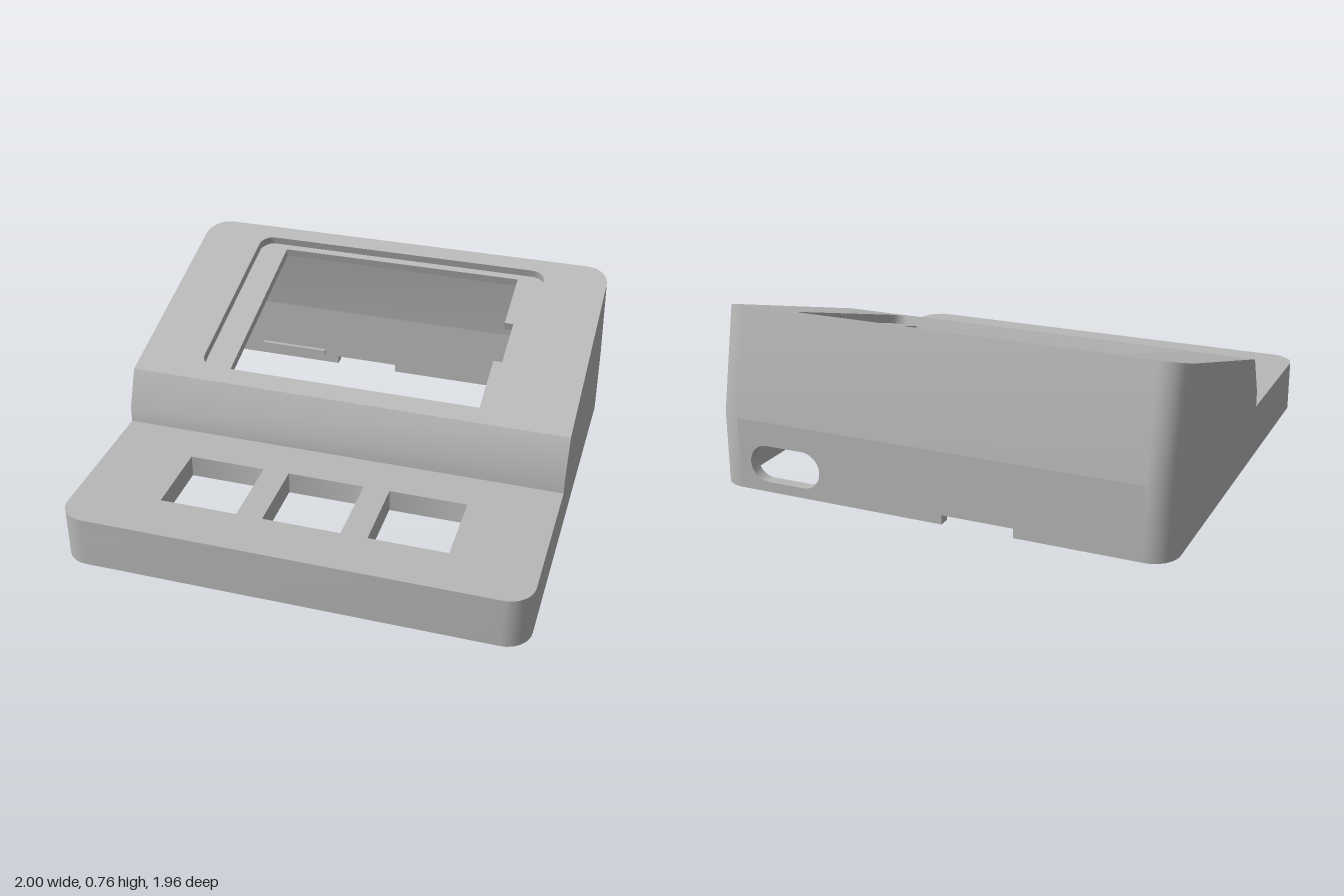
import * as THREE from 'three';
import { toCreasedNormals } from 'three/addons/utils/BufferGeometryUtils.js';

const R = 0.11, WALL = 0.05, FRONT = 0.98, BACK = -0.98, KNEE = 0.31;
const SLOPE = 0.285, LEAN = 0.209;              // screen face rise, back wall lean
const EDGE = { y: 0.47, z: 0.15 };              // lower edge of the screen face
const COS = Math.cos(Math.atan(SLOPE));

// One vertical line of the wall: bottom, knee and top points
function column(x, z, top) {
  const mid = Math.min(top ?? KNEE, KNEE);
  let zt = z, yt = top;
  if (top === undefined) {                      // leaning back part ends on the screen plane
    yt = (EDGE.y + SLOPE * (EDGE.z - z + LEAN * KNEE)) / (1 + SLOPE * LEAN);
    zt = z + LEAN * (yt - KNEE);
  }
  return [[x, 0, z], [x, mid, z], [x, yt, zt]];
}

// Closed run of wall lines: front, left side, back, right side
function wallColumns(inset) {
  const r = R - inset, side = [], steps = 8;
  for (let i = 0; i <= steps; i++) {
    const a = (1 - i / steps) * Math.PI / 2;
    side.push(column(1 - R + r * Math.cos(a), FRONT - R + r * Math.sin(a), 0.23));
  }
  const x = 1 - inset;
  side.push(column(x, 0.22, 0.23), column(x, 0.22, 0.30), column(x, EDGE.z, EDGE.y));
  for (let i = 0; i <= steps; i++) {
    const a = (i / steps) * Math.PI / 2;
    side.push(column(1 - R + r * Math.cos(a), BACK + R - r * Math.sin(a)));
  }
  const mirrored = side.map(c => c.map(([px, y, z]) => [-px, y, z])).reverse();
  return [...side, ...mirrored];
}

function wallGeometry(outer, inner) {
  const pos = [];
  const tri = (...p) => {
    const [a, b, c] = p.map(q => new THREE.Vector3(...q));
    if (b.sub(a).cross(c.sub(a)).length() > 1e-7) pos.push(...p.flat());
  };
  const quad = (a, b, c, d) => { tri(a, b, c); tri(a, c, d); };
  const n = outer.length;
  for (let i = 0; i < n; i++) {
    const j = (i + 1) % n, backPanel = i === n / 2 - 1;
    for (let k = backPanel ? 1 : 0; k < 2; k++) {
      quad(outer[i][k], outer[j][k], outer[j][k + 1], outer[i][k + 1]);
      quad(inner[j][k], inner[i][k], inner[i][k + 1], inner[j][k + 1]);
    }
    if (!backPanel) quad(outer[j][0], outer[i][0], inner[i][0], inner[j][0]);
  }
  const g = new THREE.BufferGeometry();
  g.setAttribute('position', new THREE.Float32BufferAttribute(pos, 3));
  return toCreasedNormals(g, 0.5);
}

// Rounded rectangle from corner to corner
function roundRect(x0, y0, x1, y1, r, Type = THREE.Shape) {
  const s = new Type();
  s.absarc(x1 - r, y1 - r, r, 0, Math.PI / 2);
  s.absarc(x0 + r, y1 - r, r, Math.PI / 2, Math.PI);
  s.absarc(x0 + r, y0 + r, r, Math.PI, Math.PI * 1.5);
  s.absarc(x1 - r, y0 + r, r, Math.PI * 1.5, Math.PI * 2);
  s.closePath();
  return s;
}

const polygon = pts => new THREE.Shape(pts.map(p => new THREE.Vector2(...p)));

function extrude(shape, depth, z = 0) {
  const g = new THREE.ExtrudeGeometry(shape, { depth, bevelEnabled: false, curveSegments: 8 });
  return toCreasedNormals(g.translate(0, 0, z), 0.5);
}

export function createModel() {
  const model = new THREE.Group();
  model.name = 'deskConsoleCase';
  const grey = new THREE.MeshStandardMaterial({ color: 0xb8b8b8 });
  grey.name = 'case grey';
  const add = (name, geometry, parent = model, x = 0, y = 0, z = 0) => {
    const m = new THREE.Mesh(geometry, grey);
    m.name = name;
    m.position.set(x, y, z);
    parent.add(m);
    return m;
  };

  // Walls, hollow and open at the bottom
  const outer = wallColumns(0);
  add('walls', wallGeometry(outer, wallColumns(WALL)));

  // Lower back panel with cable opening and bottom notch
  const w = 1 - R;
  const back = polygon([[-w, 0], [-0.36, 0], [-0.36, 0.04], [-0.05, 0.04], [-0.05, 0],
    [w, 0], [w, KNEE], [-w, KNEE]]);
  back.holes.push(roundRect(0.505, 0.045, 0.835, 0.205, 0.08, THREE.Path));
  add('backPanel', extrude(back, WALL, BACK));

  // Front deck with three key openings
  const deckGroup = new THREE.Group();
  deckGroup.name = 'deck';
  deckGroup.rotation.x = -Math.PI / 2;
  model.add(deckGroup);
  const deck = new THREE.Shape();
  deck.moveTo(1, -0.18);
  deck.lineTo(-1, -0.18);
  deck.absarc(-w, -FRONT + R, R, Math.PI, Math.PI * 1.5);
  deck.absarc(w, -FRONT + R, R, Math.PI * 1.5, Math.PI * 2);
  deck.closePath();
  const square = (cx, h, Type) => roundRect(cx - h, -0.585 - h, cx + h, -0.585 + h, 0.002, Type);
  for (const cx of [-0.455, 0, 0.455]) {
    deck.holes.push(square(cx, 0.17, THREE.Path));
    // Collars under the openings
    [[0.22, 0.16], [0.2, 0.13]].forEach(([h, y]) => {
      const collar = square(cx, h);
      collar.holes.push(square(cx, 0.17, THREE.Path));
      add('keyCollar', extrude(collar, 0.03, y), deckGroup);
    });
  }
  add('deckPlate', extrude(deck, 0.04, 0.19), deckGroup);

  // Step between deck and screen face
  const step = extrude(polygon([[-0.22, 0.19], [-0.22, 0.30], [-EDGE.z, EDGE.y],
    [-0.10, 0.455], [-0.17, 0.29], [-0.17, 0.19]].reverse()), 2, -1);
  add('step', step.rotateY(Math.PI / 2));

  // Tilted screen face; local y runs uphill and local z points out
  const face = new THREE.Group();
  face.name = 'screenFace';
  face.position.set(0, EDGE.y, EDGE.z);
  face.rotation.x = Math.atan(SLOPE) - Math.PI / 2;
  model.add(face);
  const recess = () => roundRect(-0.71, 0.088, 0.71, 0.998, 0.065, THREE.Path);
  const skin = polygon(outer.map(c => c[2]).filter(p => p[2] <= EDGE.z + 1e-6)
    .map(([x, , z]) => [x, (EDGE.z - z) / COS]));
  skin.holes.push(recess());
  add('screenSkin', new THREE.ShapeGeometry(skin, 8), face);

  const rim = roundRect(-0.97, 0.03, 0.97, 1.04, 0.1);
  rim.holes.push(recess());
  add('screenRim', extrude(rim, 0.039, -0.04), face);

  const bezel = roundRect(-0.97, 0.03, 0.97, 1.04, 0.1);
  bezel.holes.push(polygon([[-0.58, 0.113], [0.58, 0.113], [0.58, 0.415], [0.62, 0.415],
    [0.62, 0.664], [0.58, 0.664], [0.58, 0.966], [-0.58, 0.966]]));
  add('screenBezel', extrude(bezel, 0.04, -0.08), face);

  // Mounting pins under the screen and under the deck
  const pin = new THREE.CylinderGeometry(0.025, 0.025, 0.1, 16);
  const boss = new THREE.CylinderGeometry(0.075, 0.075, 0.025, 24);
  for (const s of [-1, 1]) {
    for (const v of [0.16, 0.92]) add('screenPin', pin, face, s * 0.67, v, -0.13).rotation.x = Math.PI / 2;
    for (const z of [0.33, 0.74]) {
      add('deckBoss', boss, model, s * 0.735, 0.18, z);
      add('deckPin', pin, model, s * 0.735, 0.13, z);
    }
  }

  // Snap ribs on the inside of the walls
  const ribX = new THREE.BoxGeometry(0.34, 0.025, 0.03);
  const ribZ = new THREE.BoxGeometry(0.03, 0.025, 0.34);
  for (const s of [-1, 1]) {
    add('frontRib', ribX, model, s * 0.4, 0.06, 0.925);
    for (const z of [-0.4, 0.4]) add('sideRib', ribZ, model, s * 0.945, 0.06, z);
  }
  add('backRib', ribX, model, -0.6, 0.06, -0.925);
  return model;
}
